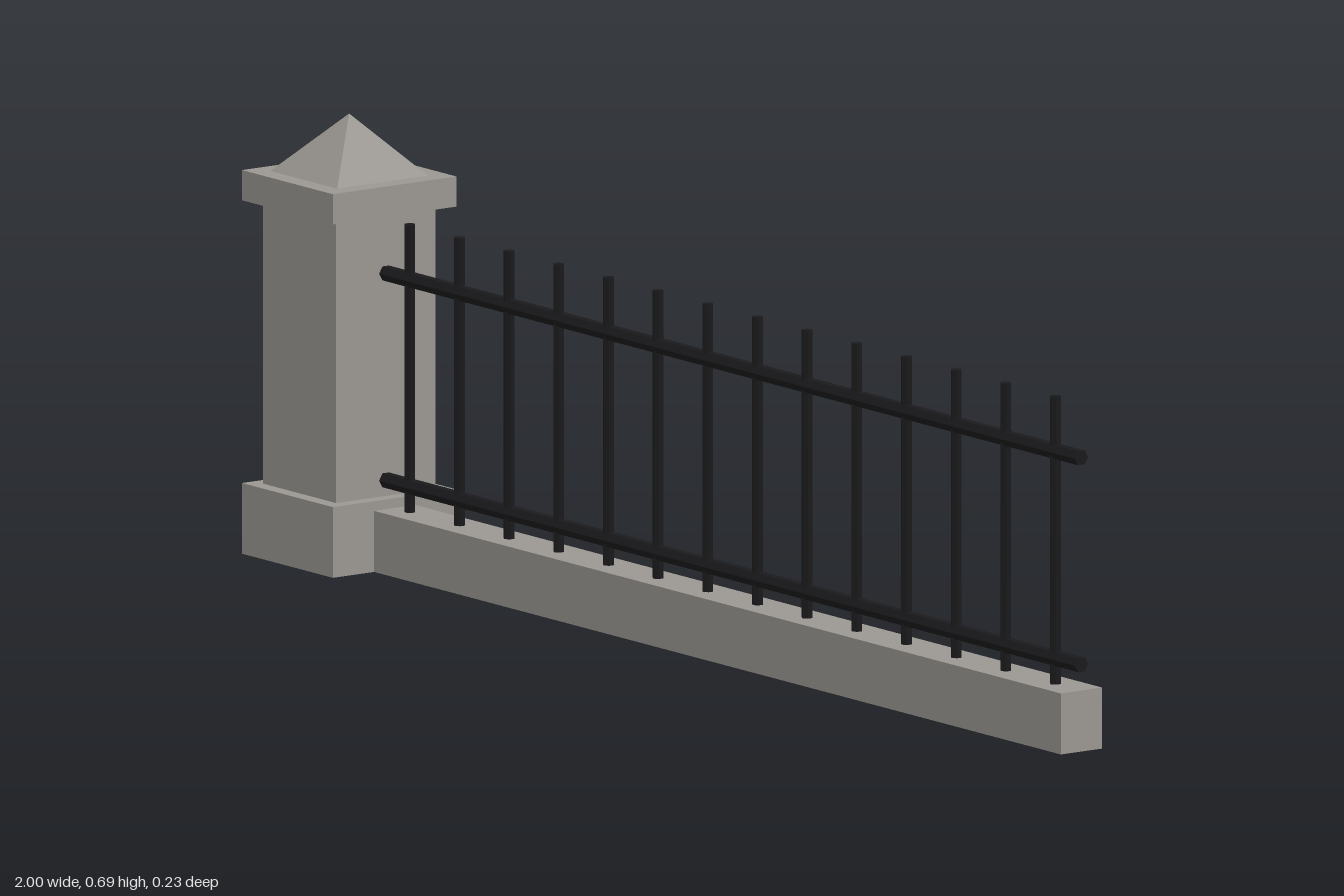
import * as THREE from 'three';

const stone = new THREE.MeshStandardMaterial({ color: 0x9a9691, side: THREE.DoubleSide, flatShading: true });
stone.name = 'stone grey';
const iron = new THREE.MeshStandardMaterial({ color: 0x1a1a1c, flatShading: true });
iron.name = 'iron black';

function addMesh(parent, name, geometry, material, x, y, z = 0) {
  const mesh = new THREE.Mesh(geometry, material);
  mesh.name = name;
  mesh.position.set(x, y, z);
  parent.add(mesh);
  return mesh;
}

// Hollow block, open underneath
function openBlock(width, height, depth) {
  const geometry = new THREE.BoxGeometry(width, height, depth);
  const index = Array.from(geometry.index.array);
  index.splice(18, 6); // the downward side
  geometry.setIndex(index);
  geometry.clearGroups();
  return geometry;
}

function addBlock(parent, name, x0, x1, y0, y1, halfDepth) {
  return addMesh(parent, name, openBlock(x1 - x0, y1 - y0, halfDepth * 2), stone, (x0 + x1) / 2, (y0 + y1) / 2);
}

export function createModel() {
  const model = new THREE.Group();
  model.name = 'fenceSection';

  // Stone pillar with base, shaft, cap slab and pyramid
  const pillar = new THREE.Group();
  pillar.name = 'pillar';
  model.add(pillar);
  const px = -0.883;
  const pillarBlocks = [
    ['pillarBase', 0.117, 0, 0.11],
    ['pillarShaft', 0.094, 0.11, 0.55],
    ['pillarCap', 0.117, 0.55, 0.597],
  ];
  for (const [name, half, y0, y1] of pillarBlocks) {
    addBlock(pillar, name, px - half, px + half, y0, y1, half);
  }
  const pyramid = new THREE.ConeGeometry(0.086 * Math.SQRT2, 0.093, 4, 1, true);
  pyramid.rotateY(Math.PI / 4);
  addMesh(pillar, 'pillarPyramid', pyramid, stone, px, 0.597 + 0.0465);

  // Low wall under the railing
  addBlock(model, 'lowWall', -0.79, 1, 0, 0.095, 0.039);

  // Iron railing: two horizontal rails and a row of hexagonal bars
  const railing = new THREE.Group();
  railing.name = 'railing';
  model.add(railing);
  const railGeometry = new THREE.CylinderGeometry(0.0125, 0.0125, 1.79, 6);
  railGeometry.rotateZ(Math.PI / 2);
  addMesh(railing, 'lowerRail', railGeometry, iron, 0.105, 0.135);
  addMesh(railing, 'upperRail', railGeometry, iron, 0.105, 0.457);

  const barGeometry = new THREE.CylinderGeometry(0.009, 0.009, 0.448, 6);
  for (let i = 0; i < 14; i++) {
    addMesh(railing, 'bar' + (i + 1), barGeometry, iron, -0.727 + i * 0.1277, 0.319);
  }
  return model;
}
